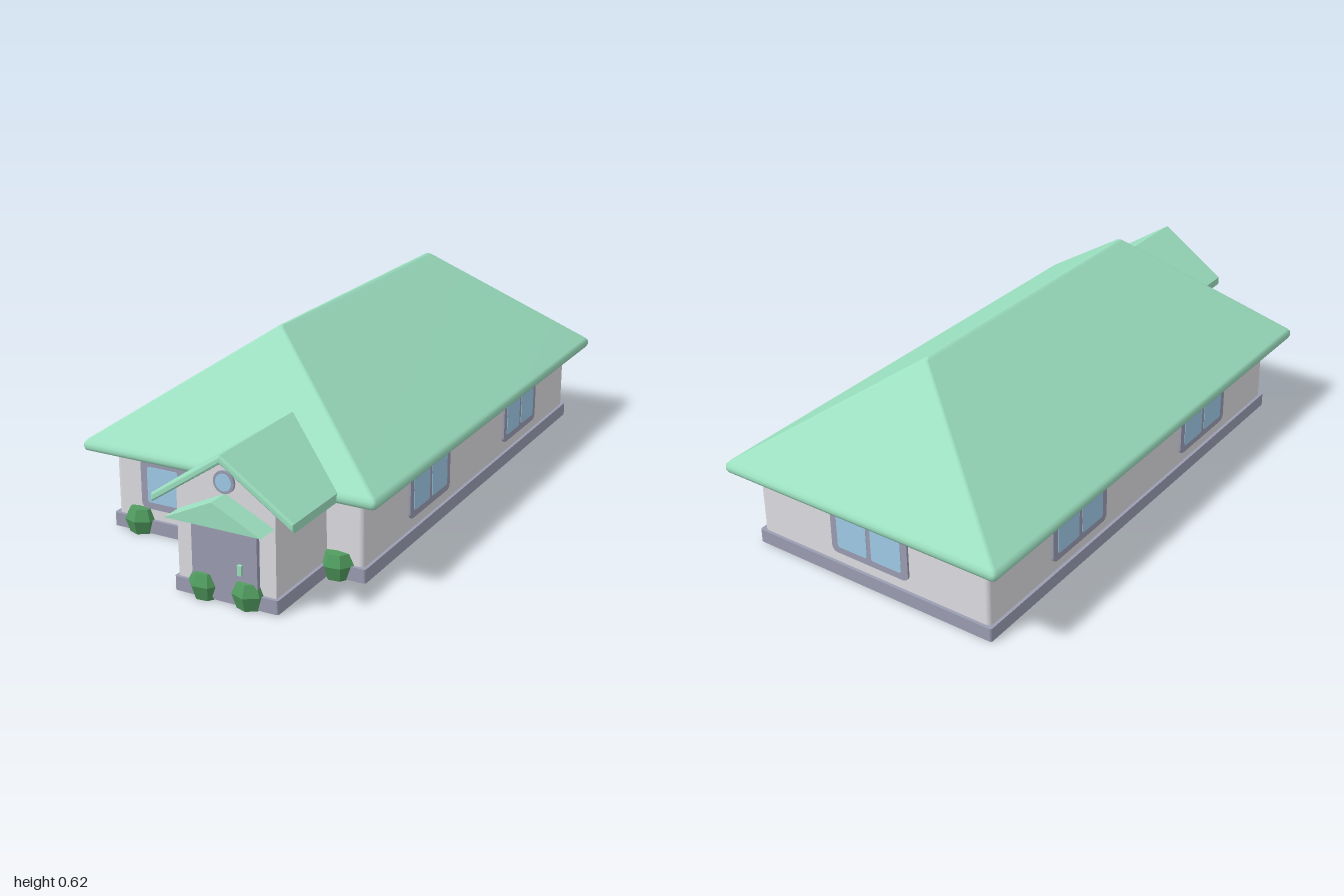
import * as THREE from 'three';

const mat = (name, color, extra = {}) => {
  const m = new THREE.MeshStandardMaterial({ color, ...extra });
  m.name = name;
  return m;
};

// Rounded rectangle outline centred on (cx, cy)
function roundedRect(w, h, r, cx = 0, cy = 0) {
  const s = new THREE.Shape();
  const corners = [[1, -1, -90], [1, 1, 0], [-1, 1, 90], [-1, -1, 180]];
  for (const [sx, sy, start] of corners) {
    const a = THREE.MathUtils.degToRad(start);
    s.absarc(cx + sx * (w / 2 - r), cy + sy * (h / 2 - r), r, a, a + Math.PI / 2, false);
  }
  return s;
}

const polygon = (pts) => new THREE.Shape(pts.map(([x, y]) => new THREE.Vector2(x, y)));

function extrude(shape, depth, bevel = 0) {
  return new THREE.ExtrudeGeometry(shape, {
    depth: depth - 2 * bevel, curveSegments: 5, bevelEnabled: bevel > 0,
    bevelSize: bevel, bevelThickness: bevel, bevelOffset: -bevel, bevelSegments: 2,
  }).translate(0, 0, bevel);
}

// Vertical slab with rounded upright corners, given by its plan extents
function slab(x0, x1, z0, z1, y0, y1, r) {
  return extrude(roundedRect(x1 - x0, z1 - z0, r, (x0 + x1) / 2, -(z0 + z1) / 2), y1 - y0)
    .rotateX(-Math.PI / 2).translate(0, y0, 0);
}

// Hipped roof lofted through rounded rectangles: [half width, back z, front z, y, radius].
// Area-weighted normals keep the slopes flat and the rim smooth.
function hipRoof(rings) {
  const pos = [], index = [], seg = 3, n = 4 * (seg + 1);
  for (const [hx, z0, z1, y, r] of rings) {
    for (let c = 0; c < 4; c++) {
      for (let i = 0; i <= seg; i++) {
        const a = (c + i / seg) * Math.PI / 2;
        const sx = c === 0 || c === 3 ? 1 : -1;
        const x = sx * (hx - r) + r * Math.cos(a);
        const z = (c < 2 ? z0 + r : z1 - r) - r * Math.sin(a);
        pos.push(x, y, z);
      }
    }
  }
  for (let k = 0; k < rings.length - 1; k++) {
    for (let i = 0; i < n; i++) {
      const a = k * n + i, b = k * n + (i + 1) % n;
      index.push(a, b, b + n, a, b + n, a + n);
    }
  }
  const top = (rings.length - 1) * n;
  for (let i = 1; i < n - 1; i++) {
    index.push(0, i + 1, i);
    index.push(top, top + i, top + i + 1);
  }
  const g = new THREE.BufferGeometry();
  g.setAttribute('position', new THREE.Float32BufferAttribute(pos, 3));
  g.setIndex(index);
  g.computeVertexNormals();
  return g;
}

export function createModel() {
  const roof = mat('roof green', 0x9ce0c0);
  const wall = mat('wall grey', 0xdddce2);
  const trim = mat('trim slate', 0x9b9db3);
  const glass = mat('glass blue', 0xa0cbe8);
  const leaf = mat('bush green', 0x509a5e, { flatShading: true });

  const house = new THREE.Group();
  house.name = 'house';
  const add = (name, geometry, material, parent = house) => {
    const m = new THREE.Mesh(geometry, material);
    m.name = name;
    parent.add(m);
    return m;
  };

  // Main block and its plinth
  add('mainWalls', slab(-0.42, 0.42, -0.93, 0.65, 0.001, 0.265, 0.016), wall);
  add('mainPlinth', slab(-0.43, 0.43, -0.94, 0.66, 0.002, 0.045, 0.008), trim);
  add('mainRoof', hipRoof([
    [0.476, -0.986, 0.709, 0.255, 0.01],
    [0.486, -0.996, 0.719, 0.259, 0.012],
    [0.49, -1, 0.723, 0.268, 0.014],
    [0.489, -0.999, 0.722, 0.28, 0.013],
    [0.48, -0.99, 0.713, 0.29, 0.01],
    [0.012, -0.658, 0.388, 0.619, 0.008],
    [0.004, -0.643, 0.373, 0.6245, 0.003],
  ]), roof);

  // Porch with gable wall
  const cx = 0.147;
  add('porchWalls', extrude(polygon([
    [-0.01, 0.004], [0.302, 0.004], [0.302, 0.306], [cx, 0.412], [-0.01, 0.306],
  ]), 0.38).translate(0, 0, 0.55), wall);
  add('porchPlinth', slab(-0.02, 0.312, 0.6, 0.94, 0.003, 0.045, 0.008), trim);
  add('porchRoof', extrude(polygon([
    [-0.078, 0.261], [cx, 0.413], [0.372, 0.261], [0.372, 0.287], [cx, 0.438], [-0.078, 0.287],
  ]), 0.435, 0.006).translate(0, 0, 0.522), roof);

  // Small canopy over the door
  add('canopy', extrude(polygon([[-0.005, 0.248], [0.299, 0.248], [cx, 0.321]]), 0.075)
    .translate(0, 0, 0.925), roof);

  // Door and handle
  add('door', extrude(roundedRect(0.208, 0.228, 0.018, cx, 0.126), 0.018)
    .translate(0, 0, 0.926), trim);
  add('doorHandle', new THREE.BoxGeometry(0.013, 0.03, 0.012).translate(0.2, 0.115, 0.948), roof);

  // Round gable window
  const disc = (r, depth) => new THREE.CylinderGeometry(r, r, depth, 32).rotateX(Math.PI / 2);
  add('gableWindowFrame', disc(0.033, 0.01).translate(cx, 0.355, 0.932), trim);
  add('gableWindowGlass', disc(0.025, 0.004).translate(cx, 0.355, 0.937), glass);

  // Two-pane windows: x, z and heading
  const frameGeo = extrude(roundedRect(0.281, 0.158, 0.02), 0.012);
  const paneGeo = extrude(roundedRect(0.109, 0.114, 0.008), 0.003);
  const windows = [[-0.187, 0.65, 0], [0, -0.93, Math.PI]];
  for (const side of [-1, 1]) {
    for (const z of [0.225, -0.495]) windows.push([side * 0.42, z, side * Math.PI / 2]);
  }
  for (const [x, z, heading] of windows) {
    const w = new THREE.Group();
    w.name = 'window';
    w.position.set(x, 0.16, z);
    w.rotation.y = heading;
    add('windowFrame', frameGeo, trim, w).position.z = -0.005;
    for (const s of [-1, 1]) add('windowPane', paneGeo, glass, w).position.set(s * 0.0625, 0, 0.0055);
    house.add(w);
  }

  // Faceted bushes
  const bushGeo = new THREE.LatheGeometry([
    [0, 0], [0.04, 0], [0.054, 0.044], [0.038, 0.078], [0, 0.082],
  ].map(([r, y]) => new THREE.Vector2(r, y)), 7);
  [[-0.337, 0.643], [0.075, 0.919], [0.214, 0.919], [0.337, 0.643]].forEach(([x, z], i) => {
    const b = add('bush', bushGeo, leaf);
    b.position.set(x, 0, z);
    b.rotation.y = 0.1 + i * 0.45;
  });

  return house;
}
